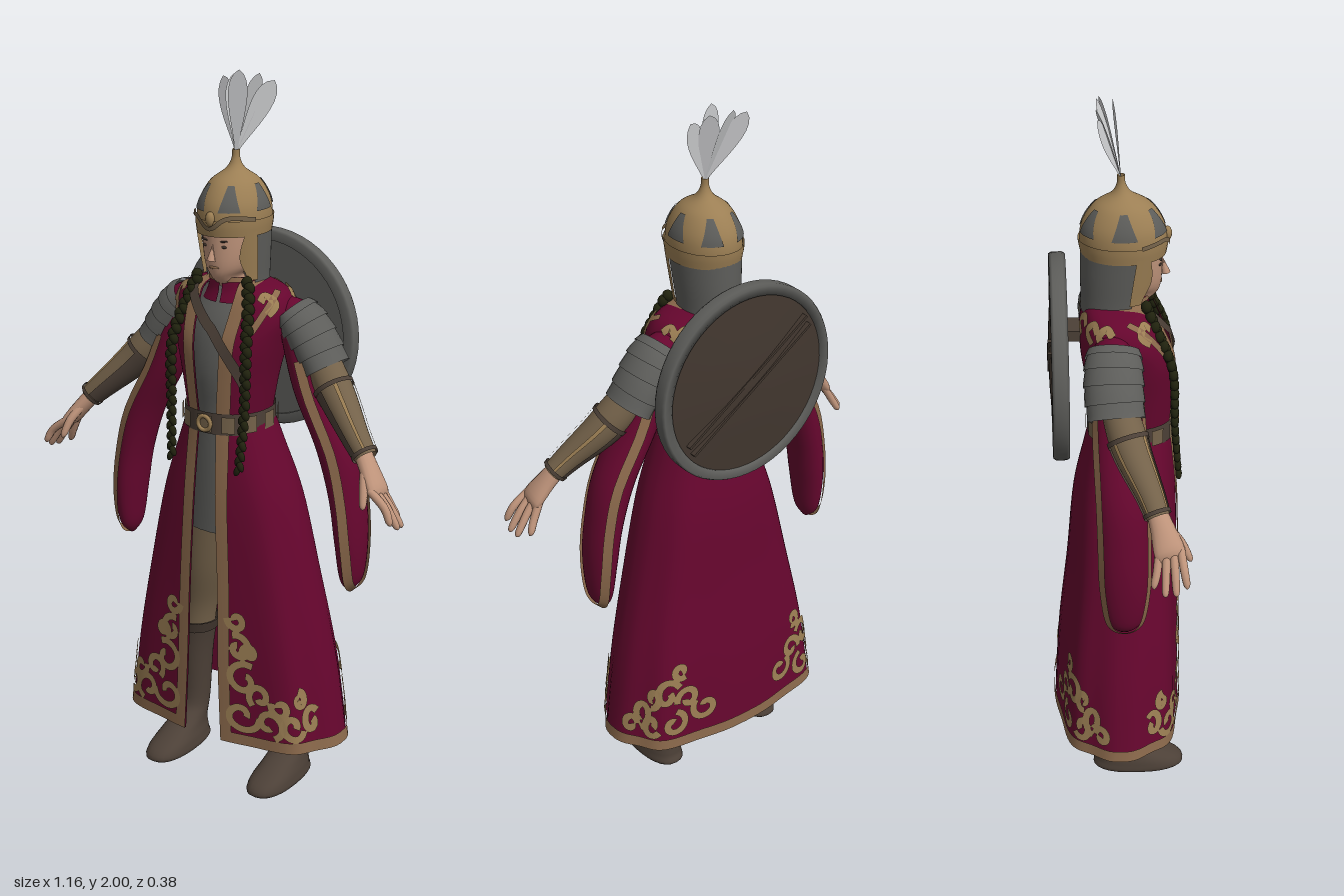
import * as THREE from 'three';
import { mergeVertices } from 'three/addons/utils/BufferGeometryUtils.js';

const paint = (name, color) => new THREE.MeshStandardMaterial({ name, color, side: THREE.DoubleSide });
const crimson = paint('crimson cloth', 0x66062e), trim = paint('bronze trim', 0x8c6a4c),
  gold = paint('pale gold', 0x9c7f54), skin = paint('skin', 0xbe937a), steel = paint('grey mail', 0x5d5d5a),
  leather = paint('brown leather', 0x4c4037), dark = paint('dark wood', 0x42372f),
  plume = paint('feather', 0xd2d3d5), hair = paint('dark braid', 0x20220e), buff = paint('bracer hide', 0x74624a);
const PI = Math.PI, TAU = PI * 2, V = (x, y, z) => new THREE.Vector3(x, y, z);

// Smooth interpolation through rows of equal length, v from 0 to 1
function at(rows, v) {
  const n = rows.length - 1, s = Math.min(Math.max(v, 0) * n, n - 1e-6), i = Math.floor(s), f = s - i;
  return rows[i].map((b, k) => {
    const a = rows[Math.max(i - 1, 0)][k], c = rows[i + 1][k], d = rows[Math.min(i + 2, n)][k];
    return b + 0.5 * f * (c - a + f * (2 * a - 5 * b + 4 * c - d + f * (3 * (b - c) + d - a)));
  });
}
// Horizontal sections [y, rx, rz, zc, xc, exponent]; angle 0 is the front, positive goes to +x
const loft = (rows, ripple = 0) => (a, v, off = 0) => {
  const [y, rx, rz, zc, xc = 0, e = 2] = at(rows, v), w = 1 + ripple * (1 - v) * Math.cos(8 * a);
  const p = (t) => Math.sign(t) * Math.abs(t) ** (2 / e);
  return V(xc + (rx * w + off) * p(Math.sin(a)), y, zc + (rz * w + off) * p(Math.cos(a)));
};
// Sections across a path [x, y, z, r, rz]; angle PI is the outer side of an arm
const limb = (rows, s) => (a, v, off = 0) => {
  const c = at(rows, v), p0 = at(rows, v - 0.02), p1 = at(rows, v + 0.02 > 1 ? 1 : v + 0.02);
  const t = V(p1[0] - p0[0], p1[1] - p0[1], p1[2] - p0[2]).normalize();
  const side = t.clone().cross(V(0, 0, 1)).normalize(), up = side.clone().cross(t);
  return V(c[0], c[1], c[2]).addScaledVector(side, s * Math.cos(a) * (c[3] + off))
    .addScaledVector(up, Math.sin(a) * ((c[4] ?? c[3]) + off));
};
function surface(fn, nu, nv) {
  const pos = [], idx = [];
  for (let j = 0; j <= nv; j++) for (let i = 0; i <= nu; i++) pos.push(...fn(i / nu, j / nv).toArray());
  for (let j = 0; j < nv; j++) for (let i = 0; i < nu; i++) {
    const k = j * (nu + 1) + i, m = k + nu + 1;
    idx.push(k, k + 1, m + 1, k, m + 1, m);
  }
  let g = new THREE.BufferGeometry();
  g.setAttribute('position', new THREE.Float32BufferAttribute(pos, 3));
  g.setIndex(idx);
  g = mergeVertices(g, 1e-5);
  g.computeVertexNormals();
  return g;
}
const patch = (fn, a0, a1, v0, v1, off = 0, nu = 24, nv = 12) =>
  surface((u, v) => fn(a0 + (a1 - a0) * u, v0 + (v1 - v0) * v, off), nu, nv);
const full = (fn, nu = 28, nv = 20) => patch(fn, -PI, PI, 0, 1, 0, nu, nv);
// Flat strip following [angle, v] points over a surface
function ribbon(fn, pts, width, n = 24, off = 0.005) {
  const curve = new THREE.SplineCurve(pts.map((p) => new THREE.Vector2(...p)));
  const P = (t) => { const p = curve.getPoint(Math.min(Math.max(t, 0), 1)); return fn(p.x, p.y); };
  return surface((u, t) => {
    const q = curve.getPoint(t), p = fn(q.x, q.y), h = 0.004;
    const nor = fn(q.x + h, q.y).sub(fn(q.x - h, q.y)).cross(fn(q.x, q.y + h).sub(fn(q.x, q.y - h))).normalize();
    const side = P(t + 0.01).sub(P(t - 0.01)).cross(nor).normalize();
    return p.addScaledVector(nor, off).addScaledVector(side, (u - 0.5) * width);
  }, 2, n);
}

export function createModel() {
  const model = new THREE.Group();
  model.name = 'armouredFigure';
  const add = (name, geo, mat, x = 0, y = 0, z = 0, rx = 0, ry = 0, rz = 0) => {
    const m = new THREE.Mesh(geo, mat);
    m.name = name;
    m.position.set(x, y, z);
    m.rotation.set(rx, ry, rz);
    model.add(m);
    return m;
  };
  const ball = (name, mat, x, y, z, sx, sy, sz, rz = 0) =>
    add(name, new THREE.SphereGeometry(1, 12, 8), mat, x, y, z, 0, 0, rz).scale.set(sx, sy, sz);

  // Coat: skirt and bodice, both open at the front; last number is half the opening
  const skirtRows = [[0.15, 0.342, 0.178, 0, 0, 2.6, 0.06], [0.38, 0.308, 0.17, 0.005, 0, 2.6, 0.05],
    [0.62, 0.258, 0.155, 0.015, 0, 2.5, 0.045], [0.85, 0.203, 0.1425, 0.0225, 0, 2.4, 0.035],
    [1.0, 0.15, 0.1225, 0.0325, 0, 2.3, 0.03], [1.1, 0.113, 0.108, 0.04, 0, 2.2, 0.025]];
  const bodiceRows = [[1.08, 0.112, 0.108, 0.04, 0, 2.2, 0.025], [1.2, 0.132, 0.117, 0.037, 0, 2.3, 0.035],
    [1.3, 0.155, 0.124, 0.028, 0, 2.4, 0.042], [1.38, 0.172, 0.11, 0.012, 0, 2.4, 0.05],
    [1.435, 0.145, 0.09, 0.005, 0, 2.3, 0.052], [1.458, 0.07, 0.07, 0.005, 0, 2, 0.045]];
  const skirt = loft(skirtRows, 0.025), bodice = loft(bodiceRows);
  for (const [name, rows, fn] of [['skirt', skirtRows, skirt], ['bodice', bodiceRows, bodice]]) {
    const edge = (v, extra = 0) => {
      const r = at(rows, v);
      return Math.asin(Math.min(1, (r[6] + extra) / r[1]) ** (r[5] / 2));
    };
    const open = (v0, v1, off, nv) => surface((u, t) => {
      const v = v0 + (v1 - v0) * t, a = edge(v);
      return fn(a + (TAU - 2 * a) * u, v, off);
    }, 80, nv);
    add(name, open(0, 1, 0, 28), crimson);
    for (const s of [-1, 1]) add(name + 'FrontTrim', surface((u, v) =>
      fn(s * (edge(v) + (edge(v, 0.036) - edge(v)) * u), v, 0.005), 4, 28), trim);
    if (name === 'skirt') add('hemTrim', open(0, 0.042, 0.005, 3), trim);
  }
  // Embroidered scrolls [angle, height, size]
  const scrolls = [[0.3, 0.26, 0.05], [0.34, 0.36, 0.05], [0.3, 0.45, 0.04], [0.3, 0.53, 0.028], [0.5, 0.32, 0.035],
    [0.58, 0.25, 0.045], [0.85, 0.25, 0.045], [1.15, 0.26, 0.04], [0.98, 0.32, 0.025], [0.72, 0.3, 0.03], [0.42, 0.44, 0.025],
    [1.95, 0.28, 0.045], [2.15, 0.25, 0.04], [2.35, 0.34, 0.045], [2.45, 0.25, 0.04], [2.8, 0.28, 0.04], [2.6, 0.32, 0.035],
    [2.15, 0.33, 0.03], [2.5, 0.41, 0.025], [1.8, 0.24, 0.03]];
  for (const s of [-1, 1]) scrolls.forEach(([a, y, size], i) => {
    const pts = Array.from({ length: 14 }, (_, k) => {
      const th = k * 0.5 * (i % 2 ? 1 : -1) + i, r = size * (1 - k / 17);
      return [s * (a + r * Math.cos(th) / 0.27), (y - 0.15 + r * Math.sin(th)) / 1.175];
    });
    add('embroidery', ribbon(skirt, pts, 0.022, 30, 0.006), gold);
  });
  for (const s of [-1, 1]) {
    for (const a of [0.95, 1.9, 2.3, 2.75])
      add('shoulderEmbroidery', ribbon(bodice, [[s * a, 0.62], [s * (a + 0.2), 0.7], [s * a, 0.78], [s * (a - 0.15), 0.72]], 0.022), gold);
    add('lapelTrim', ribbon(bodice, [[s * 0.7, 0.5], [s * 0.85, 0.62], [s * 1.1, 0.74], [s * 1.4, 0.82]], 0.018), trim);
  }

  // Mail tunic, collar, belt and chest strap
  add('tunic', full(loft([[0.76, 0.15, 0.115, 0.03], [0.95, 0.13, 0.105, 0.035], [1.1, 0.1, 0.095, 0.04],
    [1.22, 0.12, 0.105, 0.037], [1.34, 0.14, 0.1, 0.02], [1.42, 0.1, 0.07, 0.005], [1.46, 0.05, 0.05, 0.005]])), steel);
  const collar = loft([[1.405, 0.09, 0.09, 0.01], [1.435, 0.074, 0.076, 0.012], [1.472, 0.066, 0.072, 0.012]]);
  add('collar', patch(collar, 0.06, TAU - 0.06, 0, 1), crimson);
  add('collarTrim', patch(collar, 0.06, TAU - 0.06, 0.8, 1, 0.004), trim);
  const belt = loft([[1.055, 0.122, 0.12, 0.04, 0, 2.2], [1.085, 0.122, 0.12, 0.04, 0, 2.2], [1.115, 0.122, 0.12, 0.04, 0, 2.2]]);
  add('belt', full(belt, 40, 4), leather);
  for (let i = 0; i < 12; i++)
    add('beltPlate', patch(belt, i * TAU / 12 - 0.15, i * TAU / 12 + 0.15, 0.15, 0.85, 0.006, 4, 2), buff);
  add('buckle', new THREE.TorusGeometry(0.02, 0.006, 8, 20), gold, 0, 1.085, 0.166);
  add('chestStrap', ribbon(bodice, [[-0.55, 0.82], [-0.2, 0.62], [0.2, 0.42], [0.8, 0.2]], 0.03, 24, 0.009), leather);

  // Head, face and neck
  add('head', full(loft([[1.36, 0.05, 0.05, 0], [1.43, 0.047, 0.05, 0.008], [1.468, 0.034, 0.055, 0.05],
    [1.5, 0.056, 0.074, 0.044], [1.55, 0.068, 0.083, 0.038], [1.62, 0.072, 0.085, 0.036]])), skin);
  add('nose', new THREE.ConeGeometry(0.012, 0.045, 8), skin, 0, 1.545, 0.126, -0.2);
  ball('mouth', trim, 0, 1.503, 0.117, 0.016, 0.004, 0.004);
  for (const s of [-1, 1]) {
    ball('eye', dark, s * 0.027, 1.56, 0.112, 0.01, 0.004, 0.004);
    ball('eyebrow', dark, s * 0.028, 1.575, 0.114, 0.015, 0.0025, 0.004, s * 0.12);
  }
  // Helmet with steel panels, brow band, cheek guards and mail curtain
  const helm = loft([[1.588, 0.09, 0.108, 0.019], [1.63, 0.094, 0.114, 0.018], [1.675, 0.087, 0.105, 0.017],
    [1.72, 0.063, 0.074, 0.016], [1.75, 0.026, 0.028, 0.014], [1.775, 0.012, 0.012, 0.013], [1.8, 0.01, 0.01, 0.012]]);
  add('helmet', full(helm, 40, 36), gold);
  for (let i = 0; i < 6; i++) {
    const a = (i + 0.5) * TAU / 6;
    add('helmetPanel', surface((u, v) => helm(a + (u - 0.5) * 0.6 * (1 - 0.6 * v), 0.25 + 0.24 * v, 0.003), 8, 10), steel);
  }
  add('browBand', patch(helm, -PI, PI, 0, 0.17, 0.004, 40, 4), gold);
  add('browRidge', ribbon(helm, [[-1.2, 0.18], [-0.5, 0.2], [0, 0.1], [0.5, 0.2], [1.2, 0.18]], 0.012, 30, 0.008), buff);
  ball('browBoss', gold, 0, 1.635, 0.133, 0.013, 0.02, 0.012);
  const guard = loft([[1.425, 0.08, 0.094, 0], [1.47, 0.082, 0.098, 0.004], [1.53, 0.087, 0.105, 0.01], [1.6, 0.092, 0.112, 0.018]]);
  add('mailCurtain', patch(guard, 1.22, TAU - 1.22, 0, 1, 0, 36), steel);
  for (const s of [-1, 1]) add('cheekGuard', surface((u, v) => {
    const inner = 0.86 + 0.1 * Math.cos(v * 6);
    return guard(s * (inner + (1.3 - inner) * u), 0.3 + 0.7 * v, 0.004);
  }, 10, 14), gold);

  // Plume of broad feathers
  const leaf = new THREE.Shape();
  leaf.moveTo(-0.004, 0);
  leaf.bezierCurveTo(-0.008, 0.06, -0.064, 0.18, 0, 0.211);
  leaf.bezierCurveTo(0.056, 0.185, 0.008, 0.06, 0.004, 0);
  for (const [rz, rx, ry] of [[-0.43, -0.16, 0.25], [-0.16, -0.33, -0.2], [0.02, -0.1, 0.1], [0.2, -0.36, 0.25], [0.42, -0.22, -0.25]])
    add('feather', new THREE.ShapeGeometry(leaf, 10), plume, 0, 1.792, 0.012, rx, ry, rz);

  for (const s of [-1, 1]) {
    const L = (rows) => limb(rows.map(([x, ...r]) => [s * x, ...r]), s);
    // Arm with layered shoulder guard and bracer
    add('upperArm', full(L([[0.11, 1.37, -0.01, 0.05], [0.19, 1.35, -0.015, 0.055], [0.27, 1.25, -0.005, 0.048]])), crimson);
    const plates = L([[0.165, 1.385, -0.014, 0.045, 0.066], [0.195, 1.355, -0.016, 0.056, 0.073],
      [0.235, 1.3, -0.017, 0.058, 0.075], [0.275, 1.24, -0.013, 0.052, 0.071]]);
    for (let i = 0; i < 5; i++) add('shoulderPlate', surface((u, v) =>
      plates(u * TAU, (i + v * 1.1) / 5.1, 0.005 * v), 28, 5), steel);
    const bracer = L([[0.25, 1.28, -0.01, 0.045], [0.3, 1.215, 0.01, 0.05], [0.345, 1.165, 0.03, 0.046], [0.41, 1.1, 0.065, 0.036], [0.455, 1.055, 0.085, 0.03]]);
    add('bracer', full(bracer), buff);
    for (const a of [PI - 0.8, PI + 0.8]) add('bracerPiping', patch(bracer, a - 0.1, a + 0.1, 0.35, 0.92, 0.005, 3), gold);
    add('bracerLining', patch(bracer, -1.5, 1.5, 0.35, 0.92, 0.004), leather);
    for (const v of [0.3, 0.92]) add('bracerBand', patch(bracer, 0, TAU, v, v + 0.05, 0.006, 24, 2), leather);
    // Hand
    add('palm', full(L([[0.44, 1.068, 0.08, 0.022, 0.026], [0.47, 1.03, 0.095, 0.022, 0.032], [0.505, 0.985, 0.11, 0.018, 0.04], [0.52, 0.965, 0.114, 0.001, 0.03]]), 16, 12), skin);
    for (let i = 0; i < 4; i++) {
      const z = 0.085 + i * 0.018, tip = 0.07 + i * 0.027, d = [0.016, 0, 0, 0.012][i], out = [-0.008, 0, 0.004, 0.01][i];
      add('finger', full(L([[0.498, 0.99, z, 0.011], [0.535 + out, 0.945 + out, (z + tip) / 2, 0.011],
        [0.566 - d + out, 0.9 + d + out, tip, 0.009], [0.572 - d + out, 0.89 + d + out, tip, 0.001]]), 10, 12), skin);
    }
    add('thumb', full(L([[0.465, 1.03, 0.11, 0.013], [0.482, 0.995, 0.142, 0.012], [0.492, 0.955, 0.163, 0.009], [0.495, 0.945, 0.168, 0.001]]), 10, 12), skin);
    // Hanging sleeve with trimmed edge
    const sleeve = loft([[0.63, 0.003, 0.01, 0.005, s * 0.37], [0.67, 0.028, 0.045, 0.005, s * 0.374], [0.78, 0.04, 0.062, 0.005, s * 0.37],
      [0.9, 0.046, 0.065, 0.003, s * 0.354], [1.03, 0.055, 0.066, 0, s * 0.318], [1.18, 0.055, 0.066, -0.005, s * 0.242], [1.33, 0.05, 0.06, -0.01, s * 0.19]]);
    add('sleeve', full(sleeve, 28, 36), crimson);
    const hem = [[0.3, 0.92], [0.3, 0.6], [0.35, 0.3], [0.6, 0.13], [1.57, 0.07], [2.5, 0.13], [2.7, 0.3], [2.65, 0.6], [2.65, 0.92]];
    add('sleeveTrim', ribbon(sleeve, hem.map(([a, v]) => [s * a, v]), 0.027, 60), trim);
    // Braid of alternating strands
    const braid = new THREE.CatmullRomCurve3([V(s * 0.08, 1.465, 0.075), V(s * 0.096, 1.41, 0.098), V(s * 0.118, 1.3, 0.142), V(s * 0.118, 1.12, 0.152), V(s * 0.11, 0.97, 0.165)]);
    for (let i = 0; i <= 36; i++) {
      const p = braid.getPointAt(i / 36), w = 1 - 0.4 * (i / 36), k = i % 2 ? 1 : -1;
      ball('braidStrand', hair, p.x + k * 0.004, p.y, p.z, 0.015 * w, 0.017, 0.015 * w, k * 0.4);
    }
    // Leg and boot
    add('trouserLeg', full(loft([[0.34, 0.052, 0.056, -0.025, s * 0.168], [0.45, 0.056, 0.06, -0.02, s * 0.155], [0.6, 0.066, 0.072, 0, s * 0.12], [0.82, 0.08, 0.085, 0.02, s * 0.085]])), buff);
    const boot = loft([[0.003, 0, 0, 0.055, s * 0.178, 2.4], [0, 0.055, 0.122, 0.055, s * 0.178, 2.4], [0.028, 0.058, 0.123, 0.055, s * 0.178, 2.4],
      [0.06, 0.05, 0.09, 0.024, s * 0.178, 2.2], [0.09, 0.045, 0.06, -0.008, s * 0.176, 2], [0.14, 0.044, 0.048, -0.028, s * 0.175, 2],
      [0.3, 0.052, 0.056, -0.028, s * 0.172, 2], [0.4, 0.06, 0.064, -0.025, s * 0.162, 2]]);
    add('boot', full(boot, 28, 32), leather);
    add('bootStrap', patch(boot, 0, TAU, 0.94, 1, 0.005, 24, 2), dark);
  }

  // Round shield carried on the back
  const turn = (pts) => new THREE.LatheGeometry(pts.map((p) => new THREE.Vector2(...p)), 56);
  add('shieldRim', turn([[0.25, -0.02], [0.275, -0.022], [0.28, -0.014], [0.28, 0.014], [0.275, 0.022], [0.25, 0.02], [0.25, -0.02]]), steel, 0, 1.28, -0.154, -PI / 2);
  add('shieldFront', new THREE.CircleGeometry(0.252, 48), steel, 0, 1.28, -0.142);
  add('shieldBack', turn([[0.252, 0.014], [0.16, 0.022], [0.08, 0.027], [0, 0.029]]), dark, 0, 1.28, -0.154, -PI / 2);
  for (const d of [-0.014, 0.014])
    add('shieldBatten', new THREE.BoxGeometry(0.47, 0.007, 0.016), dark, d * 0.5, 1.28 + d, -0.177, 0, 0, -0.6);
  add('shieldHanger', new THREE.BoxGeometry(0.08, 0.03, 0.05), leather, 0, 1.36, -0.12);
  return model;
}
